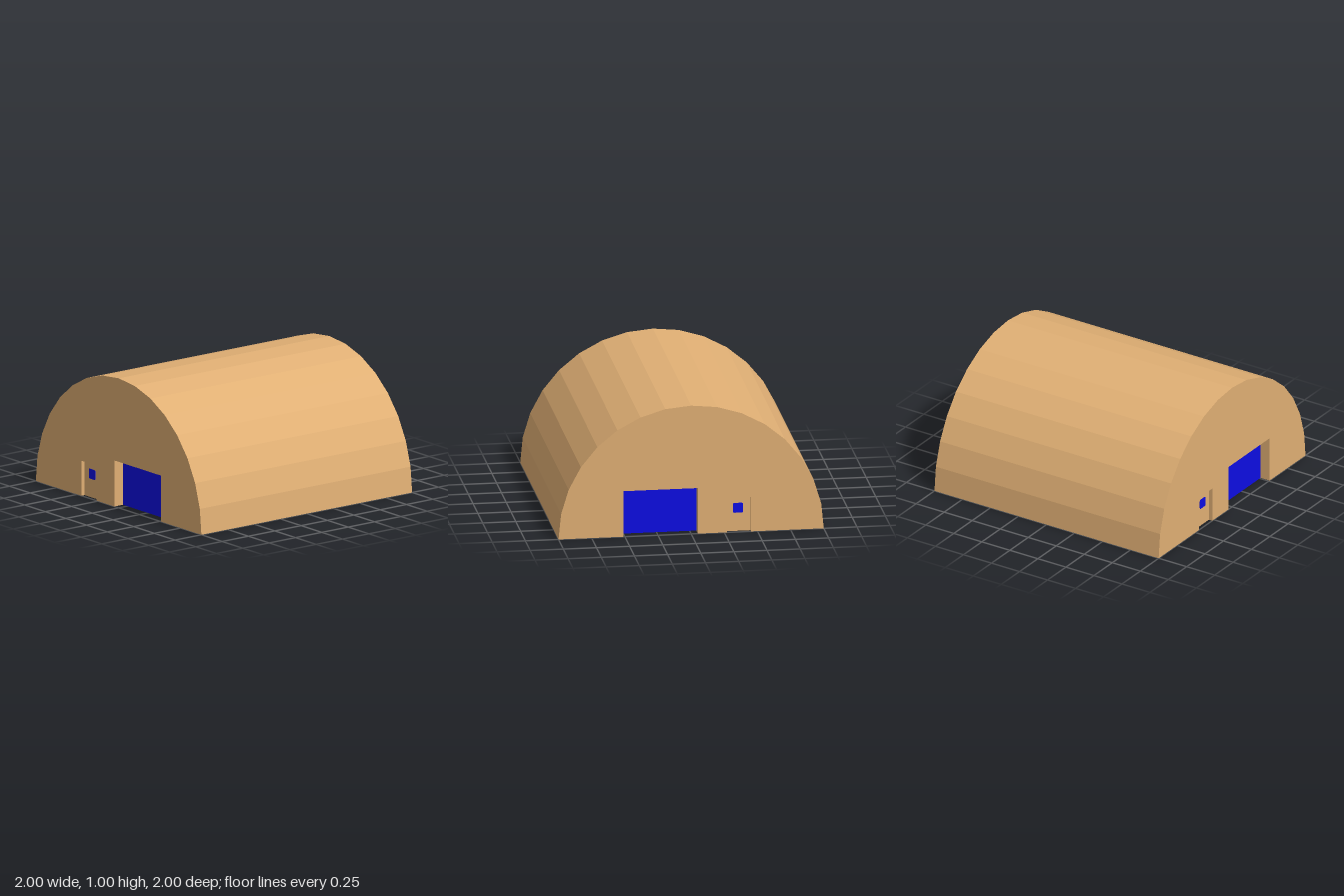
import * as THREE from 'three';

const tan = new THREE.MeshStandardMaterial({ name: 'tanSheet', color: 0xe0af74, flatShading: true, side: THREE.DoubleSide });
const blue = new THREE.MeshStandardMaterial({ name: 'bluePaint', color: 0x0d0de2, flatShading: true, side: THREE.DoubleSide });

const SEGMENTS = 16;
const bigDoor = { z0: -0.05, z1: 0.51, h: 0.355, depth: 0.08 };
const smallDoor = { z0: -0.45, z1: -0.27, h: 0.27, depth: 0.03 };

function part(name, geometry, material) {
  const mesh = new THREE.Mesh(geometry, material);
  mesh.name = name;
  return mesh;
}

// Open strip: a (z, y) path swept along x, one flat facet per step
function strip(path, xa, xb) {
  const pos = [];
  for (let i = 0; i < path.length - 1; i++) {
    const [z0, y0] = path[i], [z1, y1] = path[i + 1];
    pos.push(xa, y0, z0, xb, y0, z0, xb, y1, z1);
    pos.push(xa, y0, z0, xb, y1, z1, xa, y1, z1);
  }
  const g = new THREE.BufferGeometry();
  g.setAttribute('position', new THREE.Float32BufferAttribute(pos, 3));
  g.computeVertexNormals();
  return g;
}

// Flat face drawn in (z, y) and stood at the given x
function face(points, x) {
  const shape = new THREE.Shape(points.map(([z, y]) => new THREE.Vector2(z, y)));
  return new THREE.ShapeGeometry(shape).rotateY(-Math.PI / 2).translate(x, 0, 0);
}

const frame = (d) => [[d.z0, 0], [d.z0, d.h], [d.z1, d.h], [d.z1, 0]];

function windowPlate(x) {
  const a = 0.038, r = 0.012;
  const s = new THREE.Shape();
  s.moveTo(-a + r, -a);
  s.lineTo(a - r, -a).quadraticCurveTo(a, -a, a, -a + r);
  s.lineTo(a, a - r).quadraticCurveTo(a, a, a - r, a);
  s.lineTo(-a + r, a).quadraticCurveTo(-a, a, -a, a - r);
  s.lineTo(-a, -a + r).quadraticCurveTo(-a, -a, -a + r, -a);
  return new THREE.ExtrudeGeometry(s, { depth: 0.006, bevelEnabled: false, curveSegments: 3 })
    .translate(0, 0, -0.003).rotateY(-Math.PI / 2).translate(x, 0.18, -0.357);
}

export function createModel() {
  const group = new THREE.Group();
  group.name = 'hangar';

  // Arched shell, open underneath
  const arc = [];
  for (let i = 0; i <= SEGMENTS; i++) {
    const a = (i / SEGMENTS) * Math.PI;
    arc.push([Math.cos(a), Math.sin(a)]);
  }
  group.add(part('archedRoof', strip(arc, -1, 1), tan));

  // Matching end walls with recessed doors
  for (const side of [-1, 1]) {
    const end = new THREE.Group();
    end.name = side > 0 ? 'leftEnd' : 'rightEnd';
    const outline = [...arc, ...frame(smallDoor), ...frame(bigDoor)];
    end.add(part('endWall', face(outline, side), tan));

    for (const [name, d, mat] of [['bigDoor', bigDoor, blue], ['smallDoor', smallDoor, tan]]) {
      const inner = side * (1 - d.depth);
      end.add(part(name + 'Frame', strip(frame(d), inner, side), tan));
      end.add(part(name + 'Panel', face(frame(d), inner), mat));
    }
    end.add(part('doorWindow', windowPlate(side * (1 - smallDoor.depth)), blue));
    group.add(end);
  }
  return group;
}
